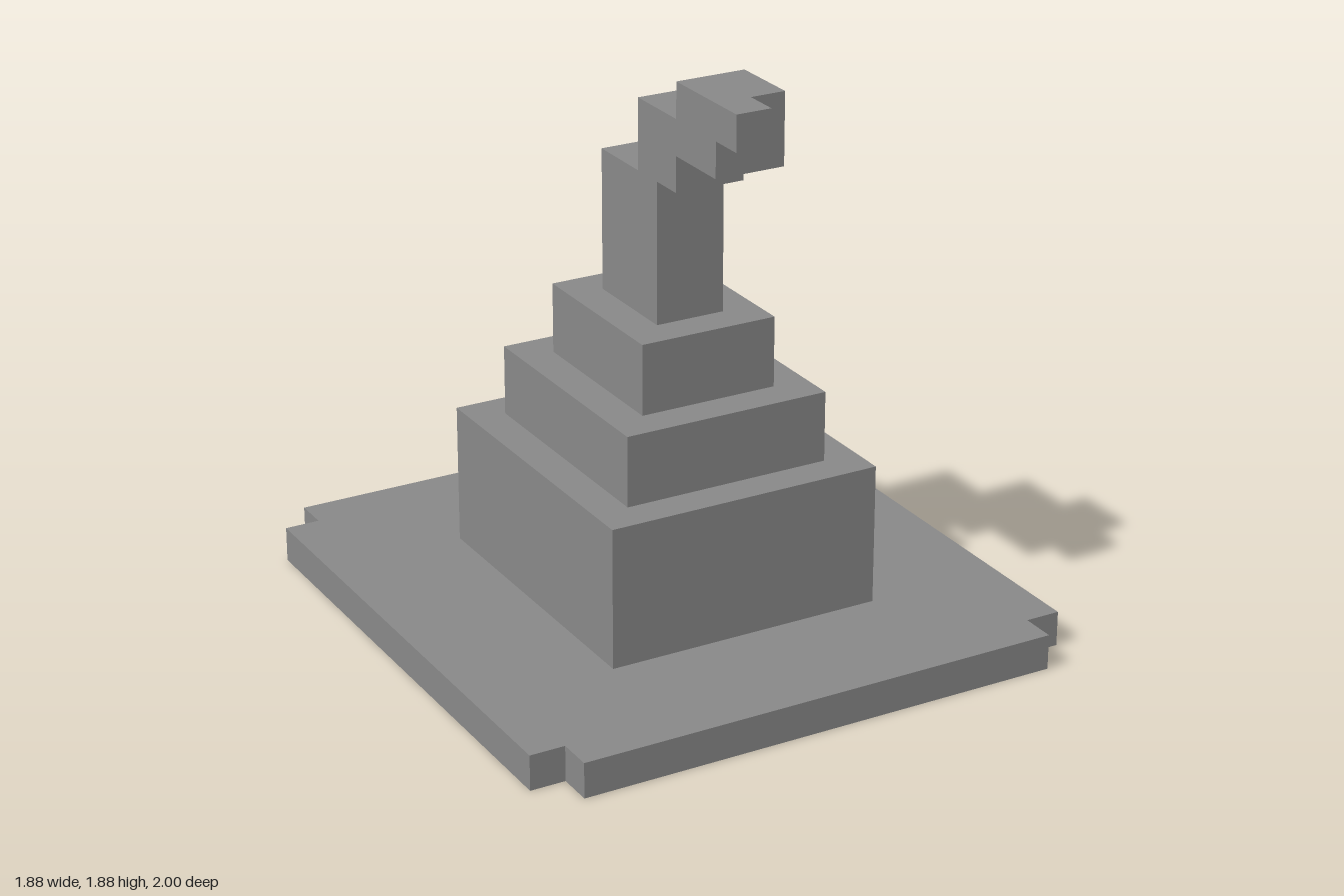
import * as THREE from 'three';

const U = 2 / 17; // one block

export function createModel() {
  const model = new THREE.Group();
  model.name = 'blockHat';
  const felt = new THREE.MeshStandardMaterial({ color: 0x888888 });
  felt.name = 'grey';

  // Box given by its extents, in blocks
  const block = (name, [x0, x1], [y0, y1], [z0, z1]) => {
    const mesh = new THREE.Mesh(
      new THREE.BoxGeometry((x1 - x0) * U, (y1 - y0) * U, (z1 - z0) * U), felt);
    mesh.position.set((x0 + x1) / 2, (y0 + y1) / 2, (z0 + z1) / 2).multiplyScalar(U);
    mesh.name = name;
    model.add(mesh);
  };

  // Brim: flat slab with a one-block notch in each corner
  const w = 8 * U, d = 8.5 * U;
  const outline = new THREE.Shape([
    [w - U, -d], [w - U, U - d], [w, U - d], [w, d - U], [w - U, d - U], [w - U, d],
    [U - w, d], [U - w, d - U], [-w, d - U], [-w, U - d], [U - w, U - d], [U - w, -d],
  ].map(([x, y]) => new THREE.Vector2(x, y)));
  const brimGeometry = new THREE.ExtrudeGeometry(outline, { depth: U, bevelEnabled: false });
  brimGeometry.rotateX(-Math.PI / 2);
  const brim = new THREE.Mesh(brimGeometry, felt);
  brim.name = 'brim';
  model.add(brim);

  // Stepped crown: half width, bottom, top
  [[4, 1, 5], [3, 5, 7], [2, 7, 9], [1, 9, 13]].forEach(([h, y0, y1], i) =>
    block(`crownTier${i + 1}`, [-h, h], [y0, y1], [-h - 0.5, h + 0.5]));

  // Peak bending forward
  block('peakLower', [-1, 1], [13, 15], [0.5, 2.5]);
  block('peakUpper', [-1, 1], [14, 16], [2.5, 4.5]);
  block('peakTip', [-1, 0], [15, 16], [4.5, 5.5]);

  // Small block on the back of the crown
  block('backBuckle', [-1, 1], [1, 3], [-5.5, -4.5]);

  return model;
}
